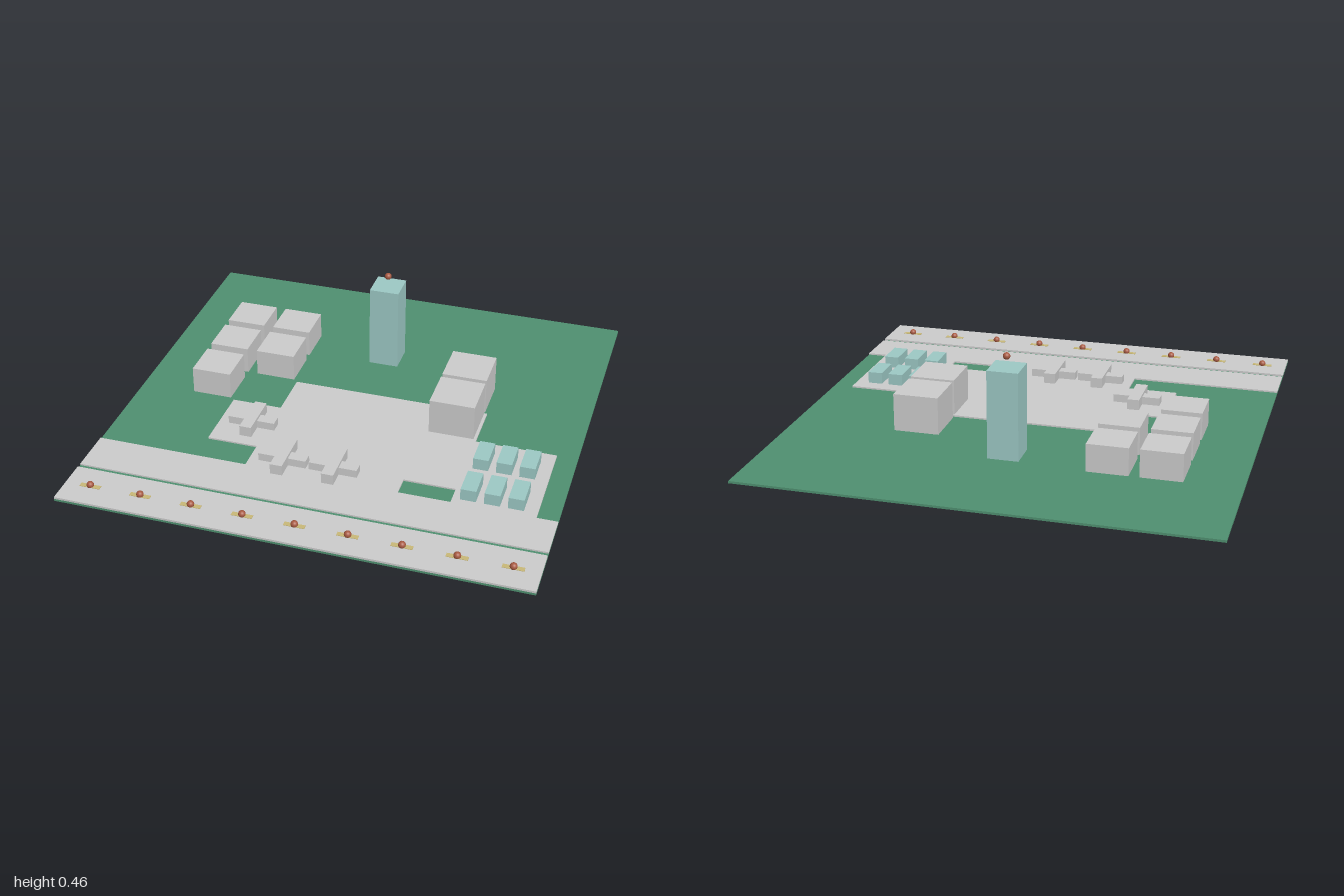
import * as THREE from 'three';

const mat = (color) => new THREE.MeshStandardMaterial({ color });
const GREY = mat(0xcccccc), GRASS = mat(0x4f9070), TEAL = mat(0x9cc8c4);
const LAMP = mat(0xa85a42), YELLOW = mat(0xc8b878);
const GROUND = 0.01, PAVED = 0.017;

export function createModel() {
  const airfield = new THREE.Group();
  airfield.name = 'airfield';

  // Box given by its plan rectangle and its bottom and top heights
  const block = (name, x0, x1, z0, z1, y0, y1, material, parent = airfield) => {
    const mesh = new THREE.Mesh(new THREE.BoxGeometry(x1 - x0, y1 - y0, z1 - z0), material);
    mesh.position.set((x0 + x1) / 2, (y0 + y1) / 2, (z0 + z1) / 2);
    mesh.name = name;
    parent.add(mesh);
    return mesh;
  };
  // Box given by its plan centre and size
  const centred = (name, x, z, w, d, y0, y1, material, parent) =>
    block(name, x - w / 2, x + w / 2, z - d / 2, z + d / 2, y0, y1, material, parent);

  const lampGeometry = new THREE.SphereGeometry(0.0155, 16, 12);
  const lamp = (name, x, y, z) => {
    const mesh = new THREE.Mesh(lampGeometry, LAMP);
    mesh.position.set(x, y, z);
    mesh.name = name;
    airfield.add(mesh);
  };

  // Grass and paved areas, laid edge to edge
  block('grass', -1, 1, -1, 1, 0, GROUND, GRASS);
  block('runway', -1, 1, 0.778, 1, GROUND, 0.019, GREY);
  block('taxiway', -1, 1, 0.556, 0.756, GROUND, PAVED, GREY);
  block('apronNorth', -0.333, 0.556, -0.111, 0.333, GROUND, PAVED, GREY);
  block('apronSouth', -0.333, 0.333, 0.333, 0.556, GROUND, PAVED, GREY);
  block('apronWest', -0.556, -0.333, 0.111, 0.418, GROUND, PAVED, GREY);
  block('parkingLink', 0.333, 0.556, 0.333, 0.465, GROUND, PAVED, GREY);
  block('parkingArea', 0.556, 0.911, 0.111, 0.556, GROUND, PAVED, GREY);

  // Runway centre dashes, each with a lamp
  for (let i = -4; i <= 4; i++) {
    const x = i * 0.2222;
    centred('runwayDash', x, 0.889, 0.089, 0.022, 0.018, 0.021, YELLOW);
    lamp('runwayLamp', x, 0.027, 0.889);
  }

  // Control tower and beacon
  centred('controlTower', 0, -0.446, 0.134, 0.134, GROUND, 0.396, TEAL);
  lamp('towerBeacon', 0, 0.443, -0.446);

  // Buildings in the west, hangars in the east
  for (const [x, z] of [[-0.667, -0.446], [-0.667, -0.224], [-0.667, 0], [-0.444, -0.446], [-0.444, -0.224]]) {
    centred('building', x, z, 0.178, 0.178, GROUND, 0.132, GREY);
  }
  for (const z of [-0.226, -0.003]) centred('hangar', 0.443, z, 0.2, 0.2, GROUND, 0.177, GREY);

  // Parked aircraft: a body crossed by a wing
  for (const [x, z] of [[-0.406, 0.262], [-0.186, 0.486], [0.038, 0.486]]) {
    const plane = new THREE.Group();
    plane.name = 'aircraft';
    centred('body', x, z, 0.053, 0.2, PAVED, 0.064, GREY, plane);
    centred('wing', x, z, 0.21, 0.05, PAVED, 0.052, GREY, plane);
    airfield.add(plane);
  }

  // Parked vehicles in two rows
  for (const z of [0.24, 0.462]) {
    for (const x of [0.622, 0.722, 0.821]) centred('vehicle', x, z, 0.066, 0.132, PAVED, 0.069, TEAL);
  }
  return airfield;
}
